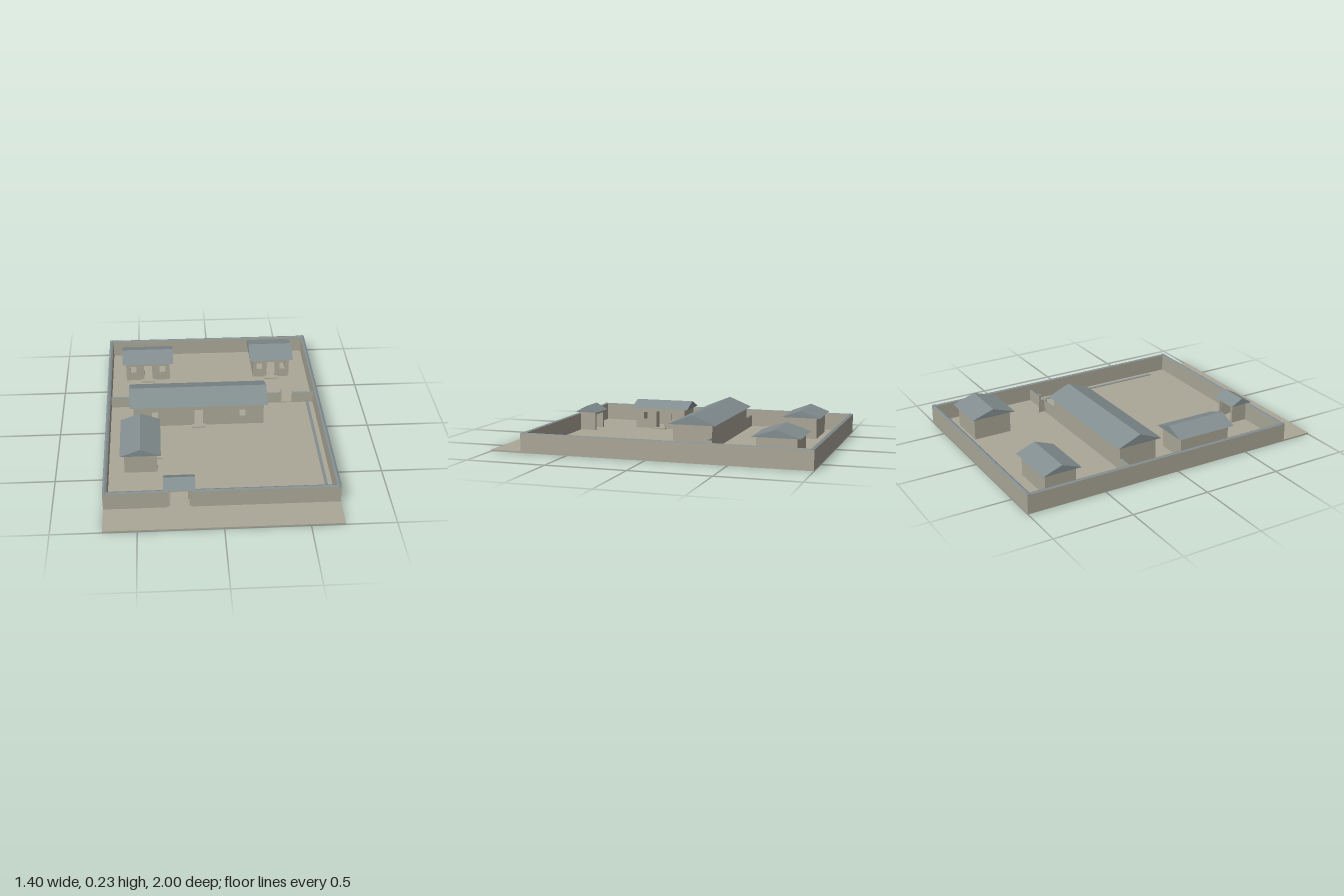
import * as THREE from 'three';

const material = (name, color) => Object.assign(new THREE.MeshStandardMaterial({ color }), { name });
const plaster = material('plaster', 0xaba898);
const slate = material('slate', 0x838e90);

const GROUND = 0.01;

function add(parent, name, geometry, mat) {
  const mesh = new THREE.Mesh(geometry, mat);
  mesh.name = name;
  parent.add(mesh);
  return mesh;
}

// Box given by its limits on each axis
function block(parent, name, x0, x1, y0, y1, z0, z1, mat = plaster) {
  const mesh = add(parent, name, new THREE.BoxGeometry(x1 - x0, y1 - y0, z1 - z0), mat);
  mesh.position.set((x0 + x1) / 2, (y0 + y1) / 2, (z0 + z1) / 2);
  return mesh;
}

// Solid gable prism centred on the origin, ridge along x
function gable(parent, name, length, depth, eave, ridge) {
  const shape = new THREE.Shape([
    new THREE.Vector2(-depth / 2, 0),
    new THREE.Vector2(depth / 2, 0),
    new THREE.Vector2(0, ridge - eave),
  ]);
  const geometry = new THREE.ExtrudeGeometry(shape, { depth: length, bevelEnabled: false });
  geometry.translate(0, 0, -length / 2).rotateY(Math.PI / 2);
  const mesh = add(parent, name, geometry, slate);
  mesh.position.y = eave;
  return mesh;
}

// Rectangular opening for a wall shape
function opening(x, y0, y1, width) {
  const w = width / 2;
  return new THREE.Path([
    new THREE.Vector2(x - w, y0), new THREE.Vector2(x - w, y1),
    new THREE.Vector2(x + w, y1), new THREE.Vector2(x + w, y0),
  ]);
}

// Hollow house facing +z with a central door and windows beside it
function house(parent, name, { x, z, width, depth, eave, ridge, windowOffset, overhang = 0.025, turn = 0 }) {
  const group = new THREE.Group();
  group.name = name;
  group.position.set(x, 0, z);
  group.rotation.y = turn;
  parent.add(group);

  const w = width / 2, d = depth / 2, t = 0.015, door = 0.028;
  const front = new THREE.Shape([
    [-w, GROUND], [-door, GROUND], [-door, 0.127], [door, 0.127],
    [door, GROUND], [w, GROUND], [w, eave], [-w, eave],
  ].map(([px, py]) => new THREE.Vector2(px, py)));
  for (const side of [-1, 1]) {
    front.holes.push(opening(side * windowOffset, 0.072, 0.118, 0.04));
  }
  const frontWall = add(group, 'frontWall',
    new THREE.ExtrudeGeometry(front, { depth: t, bevelEnabled: false }), plaster);
  frontWall.position.z = d - t;

  block(group, 'backWall', -w, w, GROUND, eave, -d, -d + t);
  for (const side of [-1, 1]) {
    const cx = side * (w - t / 2);
    block(group, 'sideWall', cx - t / 2, cx + t / 2, GROUND, eave, -d + t, d - t);
  }
  // Door leaf standing open, and the doorstep
  block(group, 'doorLeaf', -door - 0.004, -door, GROUND, 0.125, d - t - 0.045, d - t);
  block(group, 'doorStep', -0.045, 0.045, GROUND, 0.018, d, d + 0.035);
  gable(group, 'roof', width + 2 * overhang, depth + 2 * overhang, eave, ridge);
}

// Wall with a small ridged coping, running from one end to the other
function cappedWall(parent, name, x0, z0, x1, z1, height) {
  const length = Math.hypot(x1 - x0, z1 - z0);
  const group = new THREE.Group();
  group.name = name;
  group.position.set((x0 + x1) / 2, 0, (z0 + z1) / 2);
  group.rotation.y = Math.atan2(z0 - z1, x1 - x0);
  parent.add(group);
  const thick = height > 0.1 ? 0.024 : 0.012;
  block(group, 'wall', -length / 2, length / 2, GROUND, height, -thick / 2, thick / 2);
  gable(group, 'coping', length, thick + 0.001, height, height + 0.005);
}

export function createModel() {
  const model = new THREE.Group();
  model.name = 'walledCompound';

  block(model, 'ground', -0.7, 0.7, 0, GROUND, -1, 1);

  // Outer walls, leaving room for the gatehouse
  cappedWall(model, 'backBoundary', -0.7, -0.988, 0.7, -0.988, 0.12);
  for (const side of [-1, 1]) {
    cappedWall(model, 'sideBoundary', side * 0.688, -1, side * 0.688, 0.8, 0.12);
  }
  cappedWall(model, 'frontBoundary', -0.7, 0.788, -0.325, 0.788, 0.12);
  cappedWall(model, 'frontBoundary', -0.18, 0.788, 0.7, 0.788, 0.12);

  // Gatehouse: two piers, lintel, open leaves and roof
  const gate = new THREE.Group();
  gate.name = 'gatehouse';
  gate.position.set(-0.251, 0, 0.728);
  model.add(gate);
  for (const side of [-1, 1]) {
    const cx = side * 0.067;
    block(gate, 'gatePier', cx - 0.009, cx + 0.009, GROUND, 0.133, -0.06, 0.062);
    const leaf = side * 0.054;
    block(gate, 'gateLeaf', leaf - 0.002, leaf + 0.002, GROUND, 0.112, -0.05, 0.005);
  }
  block(gate, 'gateLintel', -0.058, 0.058, 0.115, 0.133, -0.06, 0.062);
  gable(gate, 'gateRoof', 0.188, 0.155, 0.133, 0.175);

  // Houses
  house(model, 'mainHall', { x: -0.102, z: -0.176, width: 0.845, depth: 0.25,
    eave: 0.165, ridge: 0.226, windowOffset: 0.285 });
  house(model, 'sideHouse', { x: -0.479, z: 0.272, width: 0.35, depth: 0.2,
    eave: 0.147, ridge: 0.194, windowOffset: 0.1, turn: Math.PI / 2 });
  house(model, 'rearLeftHouse', { x: -0.43, z: -0.73, width: 0.3, depth: 0.2,
    eave: 0.147, ridge: 0.194, windowOffset: 0.1 });
  house(model, 'rearRightHouse', { x: 0.425, z: -0.752, width: 0.25, depth: 0.245,
    eave: 0.153, ridge: 0.202, windowOffset: 0.08 });

  // Courtyard divider with a small doorway
  cappedWall(model, 'courtyardDivider', -0.676, -0.295, -0.52, -0.295, 0.083);
  cappedWall(model, 'courtyardDivider', 0.32, -0.295, 0.455, -0.295, 0.083);
  cappedWall(model, 'courtyardDivider', 0.54, -0.295, 0.676, -0.295, 0.083);
  block(model, 'dividerSill', 0.455, 0.54, GROUND, 0.016, -0.301, -0.289);
  for (const x of [0.455, 0.54]) {
    block(model, 'dividerPost', x - 0.005, x + 0.005, GROUND, 0.1, -0.302, -0.288);
  }
  block(model, 'dividerDoorLeaf', 0.461, 0.465, GROUND, 0.098, -0.342, -0.3);

  // Drain along the right-hand side of the yard
  block(model, 'drain', 0.63, 0.648, GROUND, 0.013, -0.289, 0.65, slate);

  return model;
}
